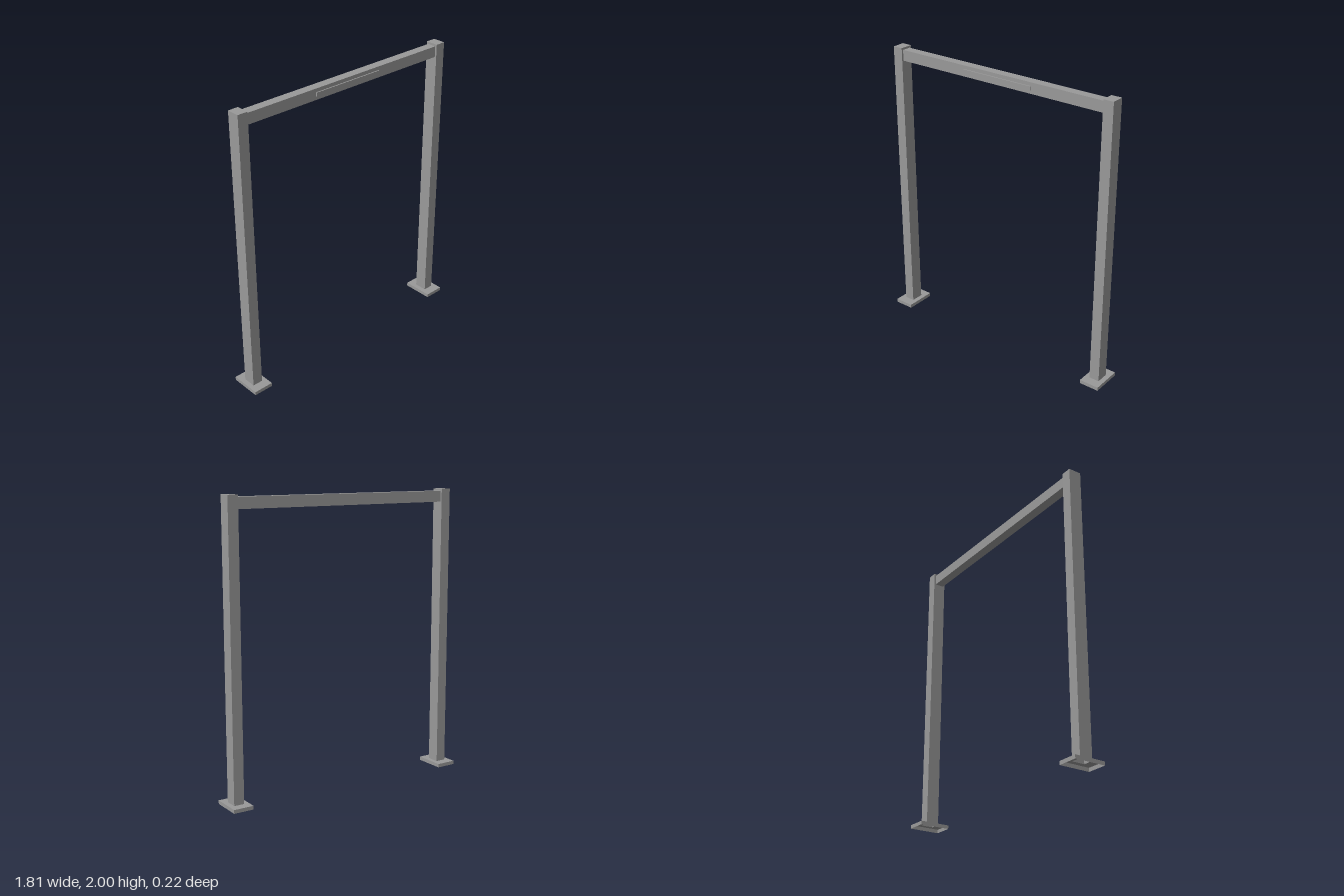
import * as THREE from 'three';

const H = 2, POST_X = 0.833, POST_W = 0.072, POST_D = 0.09;
const BASE_W = 0.14, BASE_D = 0.216, BASE_H = 0.025;
const BEAM_D = 0.064, BEAM_Y = 1.948;

// Rectangle outline centred on the origin
function rect(w, d, Type = THREE.Shape) {
  const s = new Type();
  s.moveTo(-w / 2, -d / 2);
  s.lineTo(w / 2, -d / 2);
  s.lineTo(w / 2, d / 2);
  s.lineTo(-w / 2, d / 2);
  s.closePath();
  return s;
}

// Box without its bottom face
function openBox(w, h, d) {
  const g = new THREE.BoxGeometry(w, h, d);
  const index = Array.from(g.index.array);
  index.splice(18, 6);
  g.setIndex(index);
  g.clearGroups();
  return g;
}

export function createModel() {
  const model = new THREE.Group();
  model.name = 'gateFrame';
  const steel = new THREE.MeshStandardMaterial({ color: 0x999999, side: THREE.DoubleSide });
  steel.name = 'grey steel';

  function add(parent, name, geometry, x, y, z) {
    const mesh = new THREE.Mesh(geometry, steel);
    mesh.name = name;
    mesh.position.set(x, y, z);
    parent.add(mesh);
    return mesh;
  }

  for (const [side, s] of [['left', 1], ['right', -1]]) {
    const leg = new THREE.Group();
    leg.name = side + 'Leg';
    leg.position.x = s * POST_X;
    model.add(leg);

    // Hollow post, open at the foot
    add(leg, side + 'Post', openBox(POST_W, H - BASE_H, POST_D), 0, (H + BASE_H) / 2, 0);

    // Foot plate: a top with a hole for the post, and a thin skirt
    const top = rect(BASE_W, BASE_D);
    top.holes.push(rect(POST_W, POST_D, THREE.Path));
    const plate = new THREE.ShapeGeometry(top).rotateX(-Math.PI / 2);
    add(leg, side + 'FootTop', plate, 0, BASE_H, 0);
    for (const e of [1, -1]) {
      const long = new THREE.PlaneGeometry(BASE_D, BASE_H).rotateY(e * Math.PI / 2);
      add(leg, side + 'FootLongEdge', long, e * BASE_W / 2, BASE_H / 2, 0);
      const short = new THREE.PlaneGeometry(BASE_W, BASE_H).rotateY(e > 0 ? 0 : Math.PI);
      add(leg, side + 'FootShortEdge', short, 0, BASE_H / 2, e * BASE_D / 2);
    }
  }

  // Crossbeam between the posts
  const span = 2 * POST_X - POST_W;
  add(model, 'crossbeam', new THREE.BoxGeometry(span, 0.075, BEAM_D), 0, BEAM_Y, 0);

  // Thin strip on the front of the beam
  add(model, 'frontStrip', new THREE.BoxGeometry(0.53, 0.026, 0.008), 0, BEAM_Y, BEAM_D / 2 + 0.004);

  return model;
}
